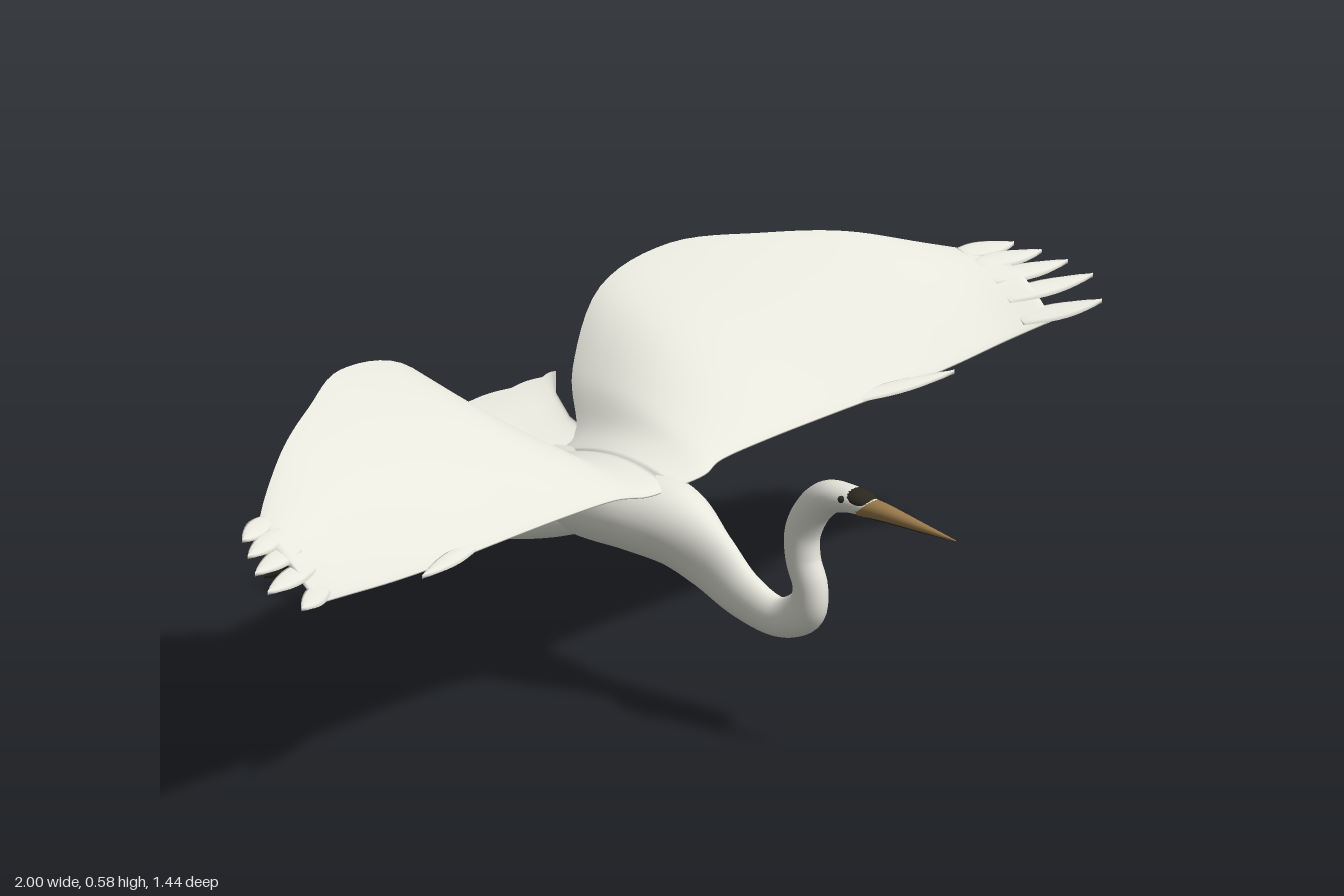
import * as THREE from 'three';

const mat = (name, color, side = THREE.FrontSide) =>
  Object.assign(new THREE.MeshStandardMaterial({ color, side }), { name });
const V = (x, y, z) => new THREE.Vector3(x, y, z);
const curve = (pts) => new THREE.CatmullRomCurve3(pts, false, 'catmullrom', 0.5);

// Skin closed rings of points; side = -1 mirrors the result across x
function loft(name, material, rings, side = 1, capEnds = true) {
  const n = rings[0].length, pos = [], idx = [];
  const tri = (a, b, c) => (side > 0 ? idx.push(a, b, c) : idx.push(a, c, b));
  rings.forEach((r) => r.forEach((p) => pos.push(p.x * side, p.y, p.z)));
  for (let i = 0; i < rings.length - 1; i++) {
    for (let j = 0; j < n; j++) {
      const k = (j + 1) % n, a = i * n + j, b = a + n, c = i * n + k, d = c + n;
      tri(a, b, d);
      tri(a, d, c);
    }
  }
  if (capEnds) {
    [0, rings.length - 1].forEach((i) => {
      const mid = rings[i].reduce((s, p) => s.add(p), V(0, 0, 0)).divideScalar(n);
      const m = pos.push(mid.x * side, mid.y, mid.z) / 3 - 1;
      for (let j = 0; j < n; j++) {
        const a = i * n + j, b = i * n + ((j + 1) % n);
        i === 0 ? tri(m, a, b) : tri(m, b, a);
      }
    });
  }
  const g = new THREE.BufferGeometry();
  g.setAttribute('position', new THREE.Float32BufferAttribute(pos, 3));
  g.setIndex(idx);
  g.computeVertexNormals();
  const mesh = new THREE.Mesh(g, material);
  mesh.name = name;
  return mesh;
}

// Smooth limb through stations [x, y, z, half width, half height]
function limb(name, material, st, side = 1, steps = 6, sides = 20) {
  const path = curve(st.map((s) => V(s[0], s[1], s[2])));
  const size = curve(st.map((s) => V(s[3], s[4], 0)));
  const rings = [], count = (st.length - 1) * steps;
  for (let i = 0; i <= count; i++) {
    const t = i / count, p = path.getPoint(t), r = size.getPoint(t);
    const up = V(1, 0, 0).cross(path.getTangent(t)).normalize();
    const ring = [];
    for (let j = 0; j < sides; j++) {
      const a = (j / sides) * Math.PI * 2;
      ring.push(p.clone().add(V(Math.cos(a) * r.x, 0, 0)).addScaledVector(up, Math.sin(a) * r.y));
    }
    rings.push(ring);
  }
  return loft(name, material, rings, side);
}

// Flat pointed feather running outward from root to tip
function feather(name, material, root, tip, width, side) {
  const rings = [];
  for (let i = 0; i <= 8; i++) {
    const t = i / 8, p = root.clone().lerp(tip, t);
    const w = width * Math.sqrt(Math.max(0.002, 1 - t * t)) * (0.6 + 0.4 * Math.sin(Math.PI * t));
    const ring = [];
    for (let j = 0; j < 8; j++) {
      const a = (j / 8) * Math.PI * 2;
      ring.push(p.clone().add(V(0, Math.sin(a) * 0.004 - Math.cos(a) * w * 0.4, Math.cos(a) * w)));
    }
    rings.push(ring);
  }
  return loft(name, material, rings, side);
}

// Leading and trailing edges of one wing, root to tip
const lead = curve([V(0, .352, .12), V(.07, .36, .13), V(.13, .367, .115), V(.25, .37, .112), V(.4, .372, .115),
  V(.55, .375, .122), V(.68, .38, .125), V(.8, .39, .13), V(.89, .405, .15)]);
const trail = curve([V(0, .358, -.12), V(.07, .375, -.14), V(.13, .445, -.2), V(.24, .545, -.238), V(.4, .578, -.23),
  V(.55, .57, -.165), V(.68, .552, -.105), V(.8, .515, -.04), V(.89, .488, .02)]);

function wingPoint(t, c, face) {
  const thick = THREE.MathUtils.lerp(0.03, 0.01, t) * Math.sqrt(c) * (1 - c) * 1.3 + 0.002;
  const p = lead.getPoint(t).lerp(trail.getPoint(t), c);
  p.y += 0.018 * Math.sin(Math.PI * c) + face * thick * 0.6;
  return p;
}

function wing(material, side) {
  const group = new THREE.Group();
  group.name = side > 0 ? 'leftWing' : 'rightWing';
  const rings = [], chord = 14;
  for (let i = 0; i <= 48; i++) {
    const ring = [];
    for (let j = 0; j <= chord; j++) ring.push(wingPoint(i / 48, (j / chord) ** 1.4, 1));
    for (let j = chord; j >= 0; j--) ring.push(wingPoint(i / 48, (j / chord) ** 1.4, -1));
    rings.push(ring);
  }
  group.add(loft('wingBlade', material, rings, side));
  // Spread flight feathers at the tip
  const tips = [V(.97, .425, .185), V(1, .45, .14), V(.985, .468, .1), V(.962, .483, .065), V(.935, .495, .03)];
  tips.forEach((tip, i) => {
    group.add(feather('flightFeather', material, wingPoint(0.93, 0.1 + i * 0.2, 0), tip, 0.021, side));
  });
  // Small feather on the leading edge
  group.add(feather('thumbFeather', material, V(.46, .378, .105), V(.645, .386, .157), 0.016, side));
  return group;
}

// Scooped tail with a scalloped rim and hollow end
function tail(material) {
  // z, half width, top, bottom
  const st = [[-.02, .05, .35, .28], [-.1, .068, .372, .278], [-.17, .088, .385, .28], [-.23, .125, .4, .272],
    [-.29, .17, .415, .257], [-.285, .16, .408, .268], [-.2, .09, .385, .29]];
  const half = 36;
  const rings = st.map(([z, w, top, bottom], i) => {
    const ring = [], rim = i === 4 || i === 5 ? 1 : 0;
    for (let j = 0; j < half * 2; j++) {
      const roof = j < half, u = (j % half) / half;
      const a = Math.PI * u;
      const x = (roof ? 1 : -1) * Math.cos(a) * w;
      const y = roof ? top - 0.012 * Math.sin(a) : top - (top - bottom) * Math.sin(a);
      const back = rim * ((roof ? 0.012 : 0.03) * Math.sin(a) - 0.02 * Math.abs(Math.cos(a))
        + 0.006 * Math.abs(Math.sin(a * 6)));
      ring.push(V(x, y, z - back));
    }
    return ring;
  });
  return loft('tail', material, rings);
}

export function createModel() {
  const white = mat('white plumage', 0xe6e6dc, THREE.DoubleSide);
  const navy = mat('leg navy', 0x0e0c22);
  const olive = mat('toe olive', 0x2f2d1c);
  const tan = mat('bill tan', 0x9a7a4a);
  const dark = mat('face dark', 0x2a281e);
  const model = new THREE.Group();
  model.name = 'flyingWadingBird';

  // Head, S-shaped neck and body in one sweep
  model.add(limb('headNeckAndBody', white, [
    [0, .421, .55, .014, .013], [0, .423, .525, .022, .019], [0, .424, .49, .027, .023], [0, .416, .452, .028, .028],
    [0, .388, .42, .027, .03], [0, .345, .398, .026, .031], [0, .3, .399, .026, .03], [0, .255, .414, .026, .03],
    [0, .213, .402, .026, .035], [0, .19, .345, .026, .033], [0, .212, .27, .028, .042], [0, .256, .2, .037, .055],
    [0, .293, .13, .065, .065], [0, .305, .05, .085, .067], [0, .305, -.03, .085, .066], [0, .311, -.1, .074, .06],
    [0, .325, -.17, .052, .04], [0, .335, -.22, .025, .02]], 1, 6, 28));

  // Bill, dark brow and dark lower edge
  model.add(limb('bill', tan, [[0, .419, .525, .02, .017], [0, .418, .57, .016, .014],
    [0, .412, .64, .009, .008], [0, .405, .72, .001, .001]]));
  model.add(limb('brow', dark, [[0, .431, .488, .012, .012], [0, .43, .505, .022, .0155],
    [0, .427, .53, .021, .015], [0, .423, .555, .008, .008]]));
  model.add(limb('billLowerEdge', dark, [[0, .406, .54, .008, .005], [0, .406, .58, .007, .004],
    [0, .405, .64, .004, .003], [0, .404, .7, .001, .001]]));

  model.add(tail(white));

  [1, -1].forEach((side) => {
    model.add(wing(white, side));
    const eye = new THREE.Mesh(new THREE.SphereGeometry(0.006, 12, 8), dark);
    eye.name = 'eye';
    eye.position.set(side * 0.024, 0.43, 0.5);
    model.add(eye);

    // Trailing leg: feathered thigh, shank with joints, toes
    const leg = new THREE.Group();
    leg.name = side > 0 ? 'leftLeg' : 'rightLeg';
    leg.add(limb('thigh', white, [[.035, .29, -.02, .03, .03], [.045, .268, -.09, .034, .032],
      [.045, .237, -.17, .026, .023], [.045, .214, -.245, .013, .012]], side));
    leg.add(limb('shank', navy, [[.045, .219, -.225, .011, .011], [.043, .199, -.28, .014, .014],
      [.039, .173, -.34, .012, .013], [.034, .137, -.42, .008, .008], [.028, .102, -.5, .009, .009],
      [.025, .078, -.56, .015, .014], [.022, .06, -.6, .015, .014], [.02, .05, -.63, .008, .01]], side));
    [[.02, .031, -.72], [.012, .018, -.712], [.03, .018, -.71], [.02, .004, -.702]].forEach(([x, y, z]) => {
      const mid = [(x + .022) / 2, (y + .065) / 2, (z - .59) / 2];
      leg.add(limb('toe', olive, [[.022, .062, -.59, .007, .007], [...mid, .0075, .007],
        [x, y, z, .002, .002]], side, 5, 10));
    });
    model.add(leg);
  });
  return model;
}
